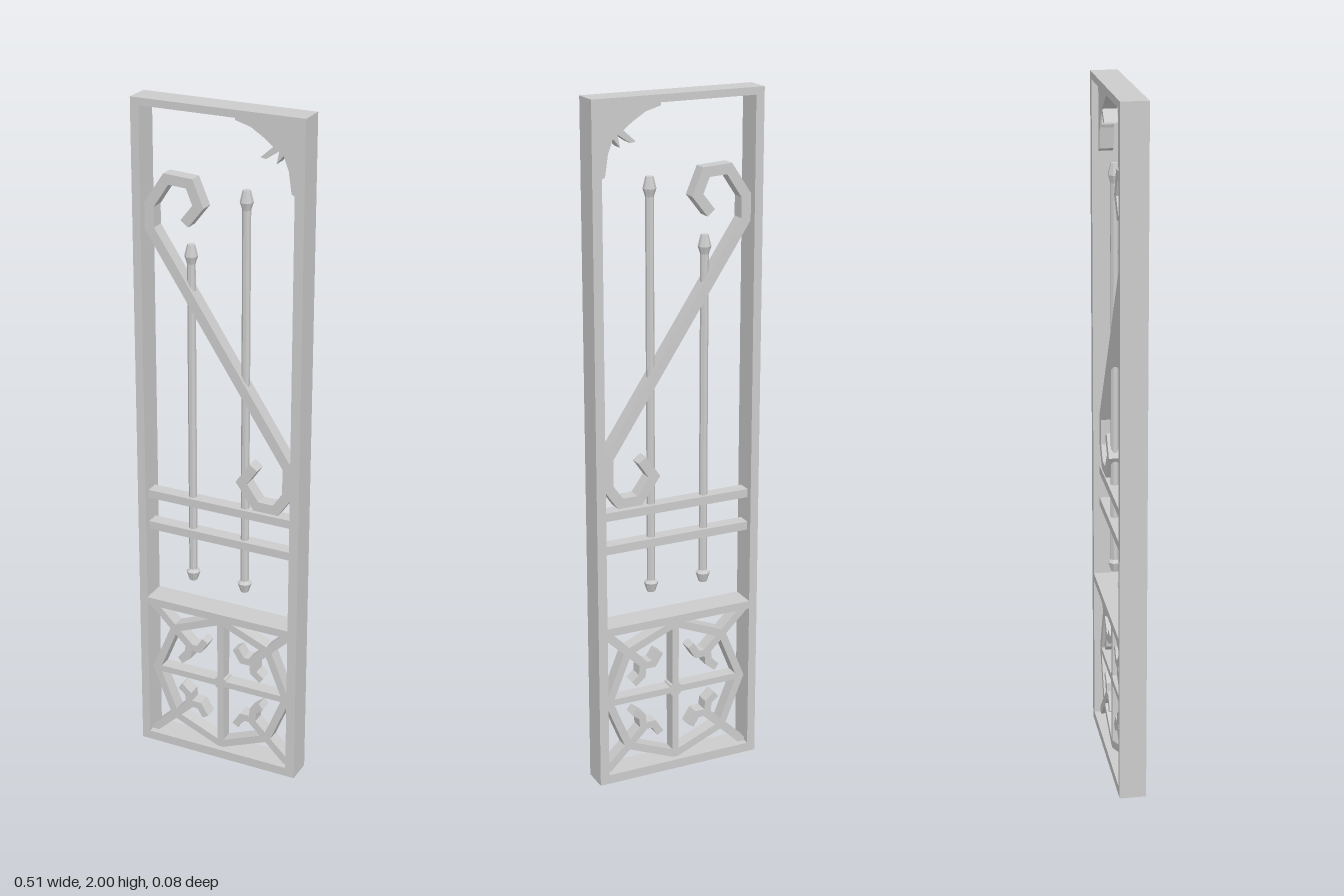
import * as THREE from 'three';

const material = new THREE.MeshStandardMaterial({ color: 0xcccccc, flatShading: true, side: THREE.DoubleSide });

function addMesh(parent, name, geometry) {
  const mesh = new THREE.Mesh(geometry, material);
  mesh.name = name;
  parent.add(mesh);
  return mesh;
}

// Box given by its x and y limits, centred on z
function bar(parent, name, x0, x1, y0, y1, depth) {
  const mesh = addMesh(parent, name, new THREE.BoxGeometry(x1 - x0, y1 - y0, depth));
  mesh.position.set((x0 + x1) / 2, (y0 + y1) / 2, 0);
  return mesh;
}

// Flat outline extruded evenly about z = 0
function slab(outline, depth, holes = []) {
  const shape = new THREE.Shape(outline.map(([x, y]) => new THREE.Vector2(x, y)));
  holes.forEach((h) => shape.holes.push(new THREE.Path(h.map(([x, y]) => new THREE.Vector2(x, y)))));
  return new THREE.ExtrudeGeometry(shape, { depth, bevelEnabled: false }).translate(0, 0, -depth / 2);
}

// Strip of even width with mitred corners along a path
function ribbon(path, width, depth, closed = false) {
  const pts = path.map(([x, y]) => new THREE.Vector2(x, y));
  const n = pts.length;
  const normal = (a, b) => new THREE.Vector2(a.y - b.y, b.x - a.x).normalize();
  const left = [], right = [];
  pts.forEach((p, i) => {
    const prev = closed || i > 0 ? normal(pts[(i + n - 1) % n], p) : null;
    const next = closed || i < n - 1 ? normal(p, pts[(i + 1) % n]) : null;
    const a = prev || next, b = next || prev;
    const m = a.clone().add(b).normalize();
    m.multiplyScalar(width / 2 / Math.max(m.dot(a), 0.4));
    left.push([p.x + m.x, p.y + m.y]);
    right.push([p.x - m.x, p.y - m.y]);
  });
  return closed ? slab(right, depth, [left]) : slab([...left, ...right.reverse()], depth);
}

const rect = (x0, x1, y0, y1) => [[x0, y0], [x1, y0], [x1, y1], [x0, y1]];

export function createModel() {
  const model = new THREE.Group();
  model.name = 'ironPanel';
  const thin = 0.04;

  // Outer frame with an upper and a lower opening
  addMesh(model, 'frame', slab(rect(-0.254, 0.254, 0, 2), 0.077, [
    rect(-0.229, 0.226, 0.028, 0.472),
    rect(-0.229, 0.226, 0.496, 1.979),
  ]));

  // Two cross rails
  bar(model, 'upperRail', -0.235, 0.23, 0.817, 0.842, thin);
  bar(model, 'lowerRail', -0.235, 0.23, 0.716, 0.741, thin);

  // Upright rods with a pointed finial at each end
  for (const [x, top] of [[-0.095, 1.603], [0.071, 1.778]]) {
    const base = 0.572, r = 0.012;
    const profile = [
      [0, base], [0.012, base], [0.021, base + 0.028], [r, base + 0.036],
      [r, top - 0.055], [0.014, top - 0.048], [0.019, top - 0.033], [0.011, top], [0, top],
    ].map(([px, py]) => new THREE.Vector2(px, py));
    addMesh(model, 'spearRod', new THREE.LatheGeometry(profile, 8, Math.PI / 8)).position.x = x;
  }

  // Diagonal scroll, hooked at both ends
  addMesh(model, 'scroll', ribbon([
    [-0.105, 1.665], [-0.064, 1.717], [-0.09, 1.778], [-0.16, 1.782], [-0.212, 1.704], [-0.212, 1.637],
    [0.209, 1.0], [0.209, 0.915], [0.174, 0.864], [0.114, 0.864], [0.068, 0.928], [0.105, 0.982],
  ], 0.029, thin));

  // Leafy bracket in the top corner
  addMesh(model, 'cornerBracket', slab([
    [0.045, 1.985], [0.045, 1.968], [0.09, 1.955], [0.13, 1.93], [0.155, 1.91], [0.119, 1.878],
    [0.135, 1.875], [0.172, 1.9], [0.165, 1.865], [0.185, 1.89], [0.2, 1.85], [0.209, 1.79], [0.23, 1.778], [0.23, 1.985],
  ], thin));

  // Lower grille: ring, cross, hub and four forked corner motifs
  const grille = new THREE.Group();
  grille.name = 'grille';
  grille.position.set(0.002, 0.25, 0);
  model.add(grille);
  addMesh(grille, 'ring', ribbon([
    [0.213, 0], [0.152, 0.15], [0, 0.213], [-0.152, 0.15],
    [-0.213, 0], [-0.152, -0.15], [0, -0.213], [0.152, -0.15],
  ], 0.023, thin, true));
  bar(grille, 'crossUpright', -0.01, 0.01, -0.21, 0.21, thin);
  bar(grille, 'crossBar', -0.21, 0.21, -0.01, 0.01, thin);
  addMesh(grille, 'hub', new THREE.CylinderGeometry(0.022, 0.022, thin, 8).rotateX(Math.PI / 2));
  for (const sx of [-1, 1]) {
    for (const sy of [-1, 1]) {
      const flip = (path) => path.map(([x, y]) => [x * sx, y * sy]);
      addMesh(grille, 'cornerStem', ribbon(flip([[0.228, 0.224], [0.1, 0.1]]), 0.023, thin));
      addMesh(grille, 'cornerFork', ribbon(flip([
        [0.05, 0.131], [0.071, 0.098], [0.105, 0.098], [0.108, 0.066], [0.134, 0.045],
      ]), 0.022, thin));
    }
  }
  return model;
}
